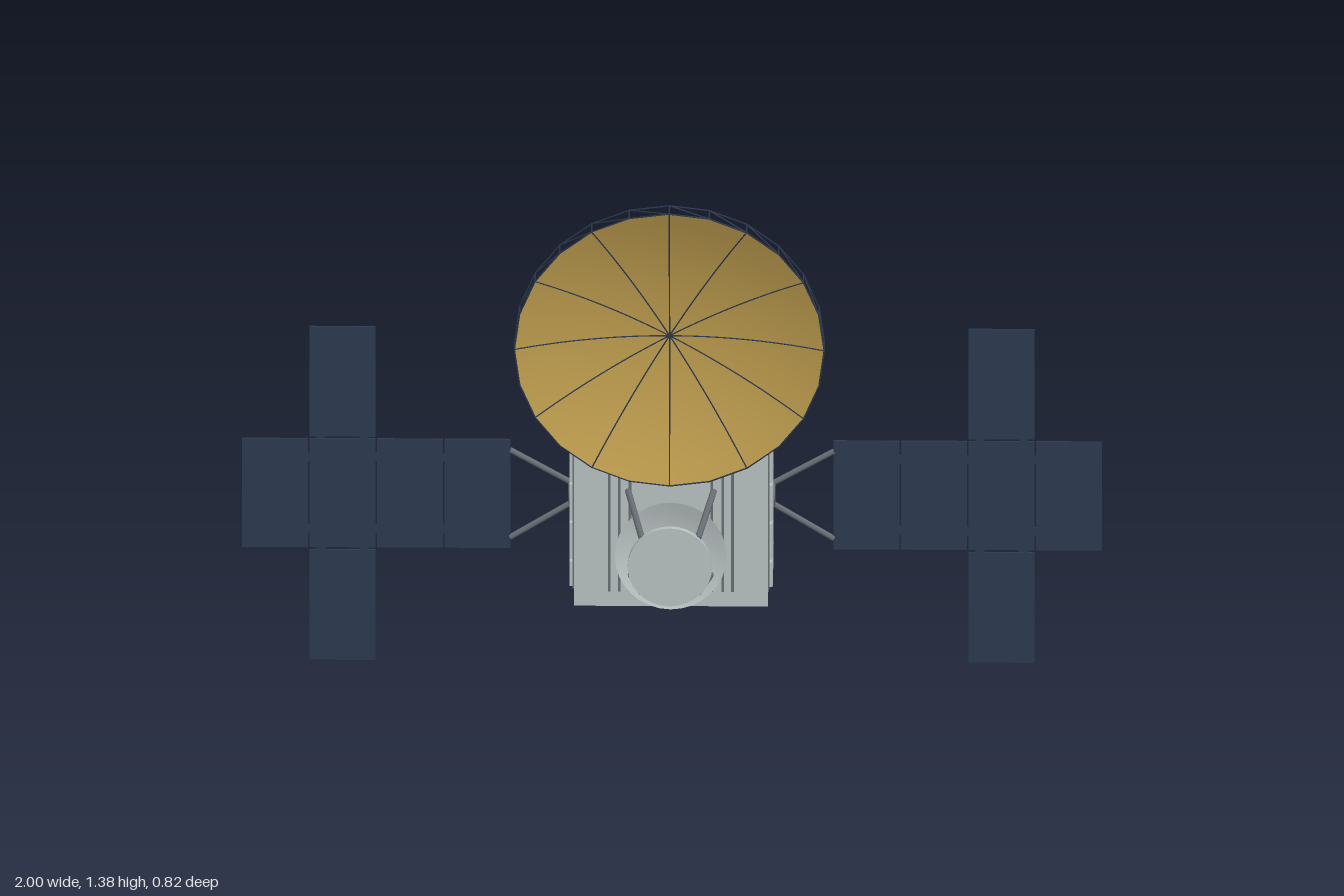
import * as THREE from 'three';
import { mergeGeometries } from 'three/addons/utils/BufferGeometryUtils.js';

const mat = (name, color, double) => {
  const m = new THREE.MeshStandardMaterial({ color });
  m.name = name;
  if (double) m.side = THREE.DoubleSide;
  return m;
};
const V = (x, y, z) => new THREE.Vector3(x, y, z);

export function createModel() {
  const shell = mat('lightGreyShell', 0xb8c0c0, true);
  const dark = mat('charcoalModule', 0x4c5457);
  const gold = mat('goldFoil', 0xc2a050, true);
  const navy = mat('navyCells', 0x2c3a50);
  const backing = mat('panelBacking', 0x707880);
  const metal = mat('greyMetal', 0x686e74);
  const ringGrey = mat('ringGrey', 0x80888c);

  const root = new THREE.Group();
  root.name = 'satellite';
  const add = (name, geo, material, x = 0, y = 0, z = 0, parent = root) => {
    const m = new THREE.Mesh(geo, material);
    m.name = name;
    m.position.set(x, y, z);
    parent.add(m);
    return m;
  };
  const box = (name, material, w, h, d, x, y, z, parent) =>
    add(name, new THREE.BoxGeometry(w, h, d), material, x, y, z, parent);
  // Cylinder geometry running between two points
  const rodGeo = (a, b, r, sides = 8) => {
    const dir = b.clone().sub(a);
    const g = new THREE.CylinderGeometry(r, r, dir.length(), sides);
    g.applyQuaternion(new THREE.Quaternion().setFromUnitVectors(V(0, 1, 0), dir.normalize()));
    const c = a.clone().add(b).multiplyScalar(0.5);
    return g.translate(c.x, c.y, c.z);
  };
  const rod = (name, material, a, b, r, sides) => add(name, rodGeo(a, b, r, sides), material);

  // Main body with rear flange and raised front plate
  const cy = 0.4225;
  box('body', shell, 0.45, 0.39, 0.245, 0, cy, -0.0975);
  box('rearFlange', shell, 0.464, 0.395, 0.014, 0, cy, -0.221);
  box('frontPlate', shell, 0.42, 0.37, 0.012, 0, cy, 0.031);
  for (const s of [-1, 1]) {
    // Vertical vents on the front plate
    for (const x of [0.095, 0.12, 0.143])
      box('frontVent', metal, 0.006, 0.3, 0.006, s * x, 0.42, 0.038);
    // Slatted side panels
    box('sideRecess', metal, 0.008, 0.345, 0.215, s * 0.225, 0.4325, -0.108);
    const edges = [0.262, 0.33, 0.427, 0.524, 0.606];
    for (let i = 0; i < 4; i++) {
      const h = edges[i + 1] - edges[i] - 0.006;
      box('sideSlat', shell, 0.012, h, 0.21, s * 0.23, (edges[i] + edges[i + 1]) / 2, -0.108);
    }
  }

  // Rear service module with nozzle ring
  box('rearModule', dark, 0.41, 0.355, 0.165, 0, cy, -0.3075);
  const ringShape = new THREE.LatheGeometry(
    [[0.09, 0], [0.15, 0], [0.15, 0], [0.15, 0.022], [0.15, 0.022], [0.1, 0.022], [0.1, 0.022], [0.09, 0.001]]
      .map(([r, y]) => new THREE.Vector2(r, y)), 40);
  add('nozzleRing', ringShape, ringGrey, 0, cy, -0.388).rotation.x = -Math.PI / 2;
  ringGrey.side = THREE.DoubleSide;
  add('nozzleDisc', new THREE.CylinderGeometry(0.092, 0.092, 0.006, 40), dark, 0, cy, -0.39)
    .rotation.x = Math.PI / 2;

  // Solar wings
  const zp = -0.185;
  const faces = [navy, navy, navy, navy, navy, backing];
  for (const s of [-1, 1]) {
    const wing = new THREE.Group();
    wing.name = s > 0 ? 'leftWing' : 'rightWing';
    root.add(wing);
    const cells = [0, 1, 2, 3].map(i => [0.4515 + i * 0.157, 0.4215]);
    cells.push([0.7655, 0.702], [0.7655, 0.14]);
    for (const [x, y] of cells) {
      box('solarPanel', faces, 0.153, y === 0.4215 ? 0.273 : 0.277, 0.005, s * x, y, zp, wing);
      // Fastener rows on the back
      for (const dy of [-0.11, 0.11])
        for (let k = -3; k <= 3; k++)
          box('fastener', navy, 0.008, 0.003, 0.002, s * x + k * 0.021, y + dy, zp - 0.003, wing);
    }
    // Hinges joining the panels
    for (const dy of [-0.09, 0.09])
      for (let i = 0; i < 3; i++)
        box('hinge', navy, 0.008, 0.02, 0.004, s * (0.53 + i * 0.157), 0.4215 + dy, zp, wing);
    for (const dx of [-0.05, 0.05])
      for (const y of [0.56, 0.281])
        box('hinge', navy, 0.02, 0.008, 0.004, s * 0.7655 + dx, y, zp, wing);
    // Yoke struts and hub
    for (const d of [-1, 1])
      rod('yokeStrut', metal, V(s * 0.225, 0.425 + d * 0.02, zp), V(s * 0.376, 0.4215 + d * 0.11, zp), 0.007);
    add('wingHub', new THREE.CylinderGeometry(0.028, 0.028, 0.014, 20), metal, s * 0.233, 0.424, zp)
      .rotation.z = Math.PI / 2;
  }

  // Large deployable dish, tilted slightly downward
  const dish = new THREE.Group();
  dish.name = 'mainDish';
  dish.position.set(0, 1.018, 0.372);
  dish.rotation.x = Math.PI / 2 + 0.104;
  root.add(dish);
  const R = 0.36, depth = 0.07, bowl = r => depth * ((r / R) ** 2 - 1);
  const profile = [];
  for (let i = 0; i <= 10; i++) profile.push(new THREE.Vector2(R * i / 10, bowl(R * i / 10)));
  add('reflector', new THREE.LatheGeometry(profile, 24), gold, 0, 0, 0, dish);
  const ribs = [];
  for (let k = 0; k < 12; k++) {
    const a = k * Math.PI / 6;
    const pts = profile.map(p => V(p.x * Math.sin(a), p.y + 0.0005, p.x * Math.cos(a)));
    ribs.push(new THREE.TubeGeometry(new THREE.CatmullRomCurve3(pts), 20, 0.0016, 4));
  }
  add('dishRibs', mergeGeometries(ribs), navy, 0, 0, 0, dish);

  // Perimeter truss behind the rim
  const at = (k, y) => V(R * Math.sin(k * Math.PI / 12), y, R * Math.cos(k * Math.PI / 12));
  const bars = [];
  for (let k = 0; k < 24; k++) {
    const pairs = [[at(k, 0), at(k + 1, 0)], [at(k, -0.04), at(k + 1, -0.04)],
      [at(k, 0), at(k, -0.04)], [at(k, 0), at(k + 1, -0.04)]];
    for (const [a, b] of pairs) bars.push(rodGeo(a, b, 0.0018, 4));
  }
  add('rimTruss', mergeGeometries(bars), navy, 0, 0, 0, dish);

  // Dish boom and its forked mount
  const elbow = V(0, 0.7, -0.045);
  rod('dishBoom', gold, elbow, V(0, 0.658, 0.298), 0.014, 12);
  for (const s of [-1, 1]) rod('boomFork', metal, elbow, V(s * 0.09, 0.612, -0.15), 0.011, 10);

  // Front disc on four struts
  add('frontDisc', new THREE.CylinderGeometry(0.098, 0.098, 0.014, 32), shell, 0, 0.422, 0.25)
    .rotation.x = Math.PI / 2;
  for (const s of [-1, 1])
    for (const d of [-1, 1])
      rod('discStrut', metal, V(s * 0.1, 0.422 + d * 0.1, 0.03), V(s * 0.065, 0.422 + d * 0.068, 0.246), 0.008);

  // Small dish with offset feed horn
  const small = [];
  for (let i = 0; i <= 6; i++) small.push(new THREE.Vector2(0.13 * i / 6, 0.026 * (i / 6) ** 2));
  add('smallDish', new THREE.LatheGeometry(small, 32), shell, 0, 0.375, 0.056).rotation.x = Math.PI / 2 - 0.09;
  rod('smallDishMount', metal, V(0, 0.37, 0.03), V(0, 0.375, 0.06), 0.012);
  rod('feedArm', metal, V(0.03, 0.285, 0.035), V(0.05, 0.365, 0.125), 0.007);
  const horn = add('feedHorn', new THREE.CylinderGeometry(0.015, 0.01, 0.04, 12), gold, 0.054, 0.375, 0.142);
  horn.rotation.x = Math.PI / 2 - 0.2;

  return root;
}
